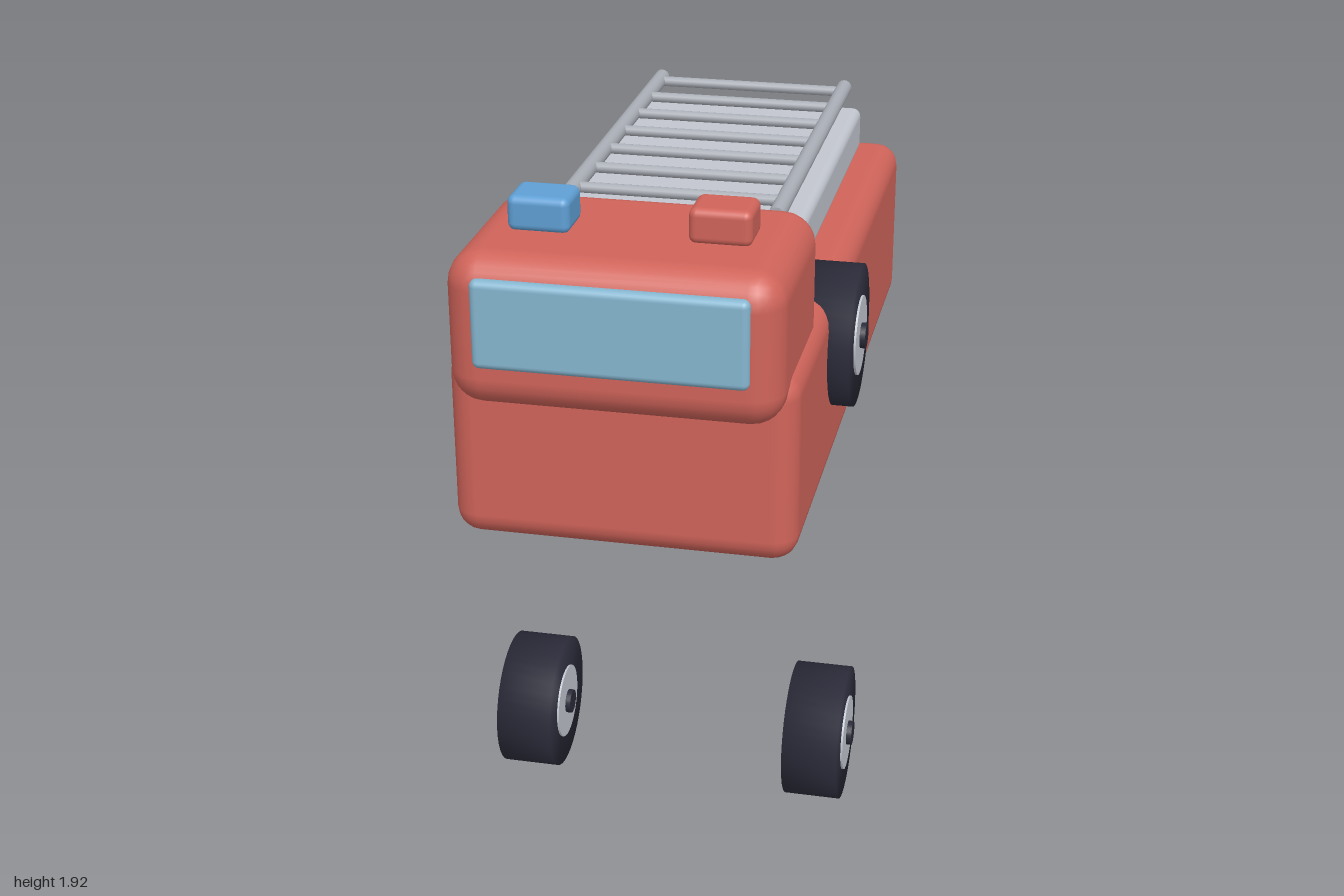
import * as THREE from 'three';
import { RoundedBoxGeometry } from 'three/addons/geometries/RoundedBoxGeometry.js';
import { mergeVertices } from 'three/addons/utils/BufferGeometryUtils.js';

function material(name, color) {
  const m = new THREE.MeshStandardMaterial({ color });
  m.name = name;
  return m;
}

const red = material('red paint', 0xd0645a);
const glass = material('window glass', 0x86b6d0);
const blue = material('blue light', 0x5f9fd4);
const silver = material('silver', 0xc2c6cf);
const steel = material('steel', 0xaaaeb6);
const rubber = material('rubber', 0x2b2b3a);

function add(parent, name, geometry, mat, x, y, z) {
  const mesh = new THREE.Mesh(geometry, mat);
  mesh.name = name;
  mesh.position.set(x, y, z);
  parent.add(mesh);
  return mesh;
}

function roundedBox(parent, name, mat, size, radius, position) {
  return add(parent, name, new RoundedBoxGeometry(...size, 3, radius), mat, ...position);
}

// Cylinder lying along x
function axle(radius, length, sides) {
  return new THREE.CylinderGeometry(radius, radius, length, sides).rotateZ(Math.PI / 2);
}

// Tyre with softly shaded shoulders
function tyreGeometry() {
  const g = axle(0.189, 0.155, 40);
  g.deleteAttribute('normal');
  g.deleteAttribute('uv');
  const soft = mergeVertices(g, 1e-4);
  soft.computeVertexNormals();
  return soft;
}

export function createModel() {
  const truck = new THREE.Group();
  truck.name = 'fireTruck';

  // Body, cab and windscreen
  roundedBox(truck, 'body', red, [0.87, 0.5, 1.9], 0.065, [0, 1.31, -0.05]);
  roundedBox(truck, 'cab', red, [0.82, 0.39, 0.55], 0.085, [0, 1.645, 0.71]);
  roundedBox(truck, 'windscreen', glass, [0.67, 0.225, 0.05], 0.018, [0, 1.678, 0.975]);

  // Roof lights
  for (const [name, mat, x] of [['rightRoofLight', blue, -0.225], ['leftRoofLight', red, 0.22]])
    roundedBox(truck, name, mat, [0.155, 0.09, 0.13], 0.02, [x, 1.88, 0.71]);

  // Ladder deck
  roundedBox(truck, 'ladderDeck', silver, [0.67, 0.13, 1.11], 0.025, [0, 1.645, -0.275]);

  // Ladder
  const ladder = new THREE.Group();
  ladder.name = 'ladder';
  ladder.position.y = 1.767;
  truck.add(ladder);
  const rail = new THREE.CylinderGeometry(0.022, 0.022, 1.17, 16).rotateX(Math.PI / 2);
  for (const side of [-1, 1]) add(ladder, 'ladderRail', rail, steel, side * 0.28, 0, -0.245);
  const rung = axle(0.015, 0.54, 12);
  for (let i = 0; i < 7; i++) add(ladder, 'ladderRung', rung, steel, 0, 0, -0.783 + i * 0.168);

  // Wheels, an upper and a lower pair
  const tyre = tyreGeometry(), hub = axle(0.105, 0.166, 32), cap = axle(0.034, 0.195, 20);
  for (const y of [0.19, 1.42]) for (const side of [-1, 1]) {
    const wheel = new THREE.Group();
    wheel.name = 'wheel';
    wheel.position.set(side * 0.413, y, 0.25);
    add(wheel, 'tyre', tyre, rubber, 0, 0, 0);
    add(wheel, 'hub', hub, silver, 0, 0, 0);
    add(wheel, 'axleCap', cap, rubber, 0, 0, 0);
    truck.add(wheel);
  }
  return truck;
}
